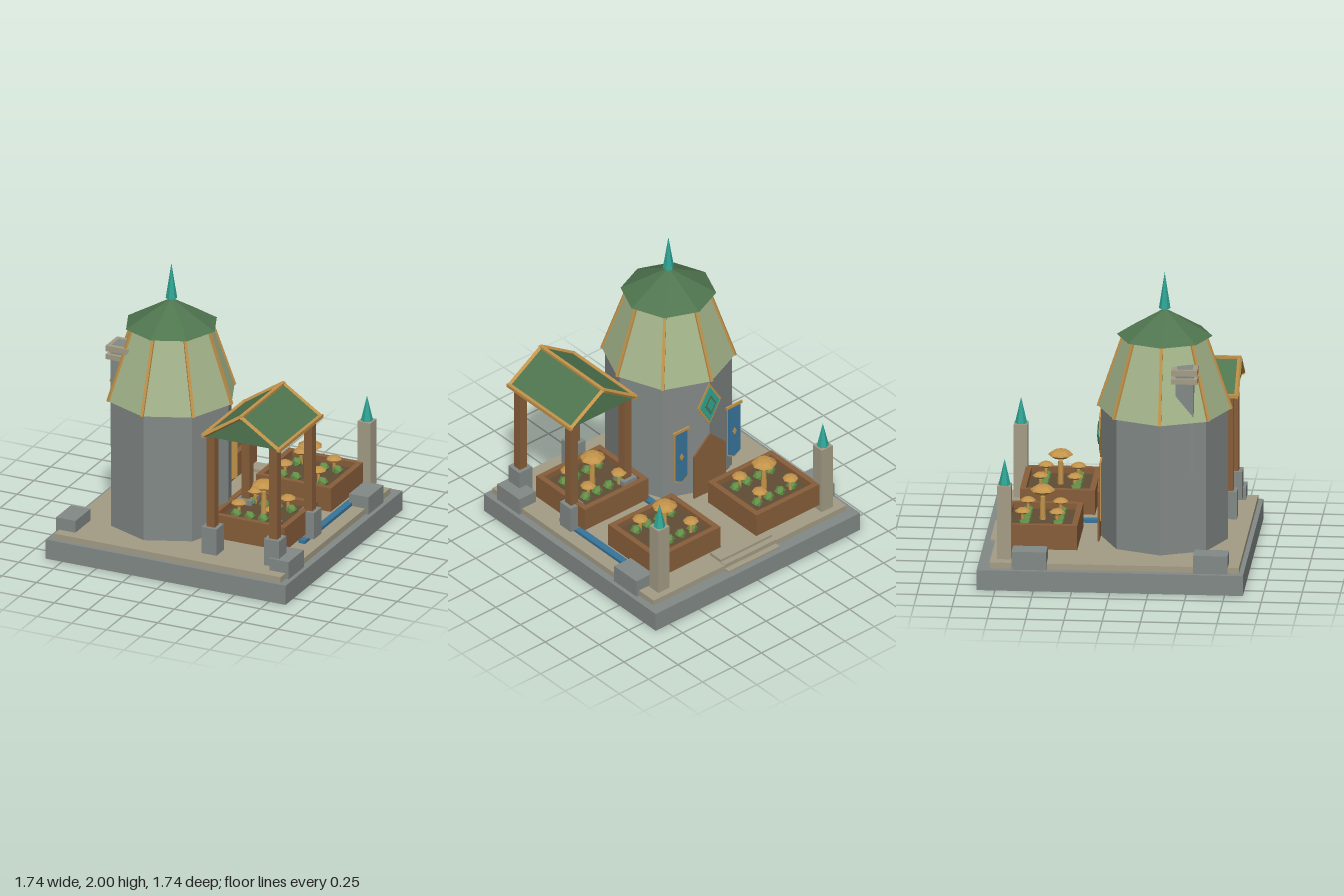
import * as THREE from 'three';

const mat = (name, color) => {
  const m = new THREE.MeshStandardMaterial({ color, flatShading: true });
  m.name = name;
  return m;
};

export function createModel() {
  const root = new THREE.Group();
  root.name = 'towerGarden';

  const stone = mat('grey stone', 0x828987);
  const tan = mat('tan stone', 0xa39c86);
  const wood = mat('brown wood', 0x875e3a);
  const soil = mat('soil', 0x614d36);
  const gold = mat('gold', 0xc2934a);
  const sage = mat('sage roof', 0xa3b48a);
  const green = mat('dark green roof', 0x4f754f);
  const teal = mat('teal crystal', 0x2fa595);
  const blue = mat('blue', 0x37749a);
  const leaf = mat('leaf green', 0x658f48);

  const add = (name, geo, material, x = 0, y = 0, z = 0, parent = root) => {
    const m = new THREE.Mesh(geo, material);
    m.name = name;
    m.position.set(x, y, z);
    parent.add(m);
    return m;
  };
  // Box given by its extents on each axis
  const box = (name, material, x0, x1, y0, y1, z0, z1, parent = root) =>
    add(name, new THREE.BoxGeometry(x1 - x0, y1 - y0, z1 - z0), material,
      (x0 + x1) / 2, (y0 + y1) / 2, (z0 + z1) / 2, parent);
  // Tapered prism standing on y0
  const prism = (name, material, rTop, rBottom, y0, y1, sides, x, z, parent = root) =>
    add(name, new THREE.CylinderGeometry(rTop, rBottom, y1 - y0, sides), material, x, (y0 + y1) / 2, z, parent);
  // Square bar between two points
  const beam = (name, material, a, b, w, parent = root) => {
    const p = new THREE.Vector3(...a), q = new THREE.Vector3(...b);
    const m = add(name, new THREE.BoxGeometry(w, w, p.distanceTo(q)), material, 0, 0, 0, parent);
    m.position.copy(p).lerp(q, 0.5);
    m.quaternion.setFromUnitVectors(new THREE.Vector3(0, 0, 1), q.sub(p).normalize());
    return m;
  };
  const shapeOf = (pts) => new THREE.Shape(pts.map(([x, y]) => new THREE.Vector2(x, y)));
  const extrude = (shape, depth) => new THREE.ExtrudeGeometry(shape, { depth, bevelEnabled: false });

  // Ground
  box('base', stone, -0.87, 0.87, 0, 0.135, -0.87, 0.87);
  box('floor', tan, -0.82, 0.82, 0.135, 0.175, -0.79, 0.84);
  box('stepLow', tan, -0.22, 0.215, 0.13, 0.15, -0.83, -0.78);
  box('stepMiddle', tan, -0.22, 0.215, 0.14, 0.18, -0.79, -0.74);
  box('stepHigh', tan, -0.22, 0.215, 0.15, 0.198, -0.75, -0.64);
  for (const x of [0.137, 0.7]) box('waterChannel', blue, x - 0.023, x + 0.023, 0.17, 0.197, -0.64, 0.28);

  // Corner blocks and crystal pillars
  for (const s of [-1, 1]) {
    for (const z of [-0.53, 0.655])
      add('cornerBlock', new THREE.BoxGeometry(0.14, 0.122, 0.225), stone, s * 0.773, 0.197, z);
    box('pillar', tan, s * 0.695 - 0.047, s * 0.695 + 0.047, 0.17, 0.67, -0.745, -0.655);
    prism('pillarCrystal', teal, 0, 0.04, 0.67, 0.845, 6, s * 0.695, -0.7);
  }

  // Tower
  const tower = new THREE.Group();
  tower.name = 'tower';
  tower.position.set(-0.23, 0, 0.31);
  root.add(tower);
  prism('towerWall', stone, 0.415, 0.415, 0.195, 1.08, 8, 0, 0, tower);
  prism('lowerRoof', sage, 0.268, 0.435, 1.08, 1.575, 8, 0, 0, tower);
  prism('upperRoof', green, 0, 0.313, 1.572, 1.755, 8, 0, 0, tower);
  prism('spire', teal, 0, 0.038, 1.755, 2, 6, 0, 0, tower);
  for (let i = 0; i < 8; i++) {
    const c = Math.cos(i * Math.PI / 4), s = Math.sin(i * Math.PI / 4);
    const rib = new THREE.Group();
    rib.name = 'roofRib';
    rib.rotation.y = i * Math.PI / 4;
    tower.add(rib);
    beam('ribBar', gold, [0, 1.08, 0.435], [0, 1.575, 0.268], 0.02, rib);
  }

  // Chimney
  box('chimneyShaft', stone, -0.565, -0.445, 0.72, 1.4, 0.405, 0.525);
  box('chimneyCollar', tan, -0.59, -0.425, 1.345, 1.38, 0.38, 0.55);
  box('chimneyCap', tan, -0.59, -0.425, 1.4, 1.44, 0.38, 0.55);
  box('chimneyMouth', stone, -0.56, -0.455, 1.37, 1.443, 0.415, 0.515);

  // Door on the back of the tower
  add('door', extrude(shapeOf([[-0.135, 0.195], [0.135, 0.195], [0.135, 0.53], [0, 0.655], [-0.135, 0.53]]), 0.012),
    wood, -0.225, 0, -0.119);

  // Diamond emblem above the door
  const diamond = (name, material, w, h, x, y, z, d = 0.006) =>
    add(name, extrude(shapeOf([[-w, 0], [0, -h], [w, 0], [0, h]]), d), material, x, y, z);
  diamond('emblemFrame', gold, 0.1, 0.165, -0.225, 0.895, -0.112);
  diamond('emblemPlate', teal, 0.082, 0.138, -0.225, 0.895, -0.117);
  diamond('emblemInset', green, 0.046, 0.078, -0.225, 0.895, -0.127);
  diamond('emblemCore', teal, 0.03, 0.052, -0.225, 0.895, -0.13);

  // Banners on either side of the door
  const cloth = (w, top, tip) => shapeOf([[-w, tip + 0.03], [0, tip], [w, tip + 0.03], [w, top], [-w, top]]);
  for (const x of [-0.4525, -0.0025]) {
    box('bannerRod', gold, x - 0.068, x + 0.068, 0.755, 0.775, -0.096, -0.084);
    add('bannerBorder', extrude(cloth(0.057, 0.755, 0.35), 0.004), gold, x, 0, -0.09);
    add('bannerCloth', extrude(cloth(0.05, 0.755, 0.36), 0.004), blue, x, 0, -0.094);
    diamond('bannerMark', gold, 0.017, 0.03, x, 0.56, -0.098, 0.004);
  }

  // Canopy
  const roofShape = shapeOf([[0.21, 1.025], [0.765, 1.025], [0.4875, 1.21]]);
  add('canopyRoof', extrude(roofShape, 0.62), green, 0, 0, 0.12);
  const zA = 0.12, zB = 0.745;
  beam('ridgeTrim', gold, [0.4875, 1.208, zA - 0.01], [0.4875, 1.208, zB + 0.01], 0.024);
  for (const x of [0.213, 0.762]) {
    beam('eaveTrim', gold, [x, 1.028, zA - 0.01], [x, 1.028, zB + 0.01], 0.024);
    for (const z of [zA, zB]) beam('gableTrim', gold, [x, 1.028, z], [0.4875, 1.21, z], 0.022);
  }
  for (const x of [0.255, 0.708]) {
    for (const z of [0.173, 0.693]) {
      box('canopyPost', wood, x - 0.03, x + 0.03, 0.38, 1.03, z - 0.03, z + 0.03);
      box('postFoot', stone, x - 0.055, x + 0.055, 0.195, 0.38, z - 0.055, z + 0.055);
    }
  }

  // Planters with mushrooms and leafy clumps
  const mushroom = (x, z, r, stemTop, capY, capH, parent) => {
    prism('mushroomStem', gold, r * 0.2, r * 0.25, 0.335, stemTop, 8, x, z, parent);
    const profile = [[0, 0], [0.55, 0], [1, 0.38], [0.92, 0.55], [0.55, 0.9], [0, 1]]
      .map(([a, b]) => new THREE.Vector2(a * r, b * capH));
    add('mushroomCap', new THREE.LatheGeometry(profile, 8), gold, x, capY, z, parent);
  };
  const planter = (cx, cz) => {
    const g = new THREE.Group();
    g.name = 'planter';
    g.position.set(cx, 0, cz);
    root.add(g);
    const hw = 0.271, hd = 0.246, t = 0.038;
    for (const s of [-1, 1]) {
      add('planterEnd', new THREE.BoxGeometry(t, 0.165, 2 * hd), wood, s * (hw - t / 2), 0.303, 0, g);
      add('planterSide', new THREE.BoxGeometry(2 * (hw - t), 0.165, t), wood, 0, 0.303, s * (hd - t / 2), g);
    }
    box('soilBed', soil, -hw + t, hw - t, 0.222, 0.345, -hd + t, hd - t, g);
    mushroom(0, 0, 0.082, 0.5, 0.522, 0.057, g);
    for (const [x, z] of [[-0.123, -0.122], [0.124, -0.105], [-0.13, 0.104], [0.115, 0.108]])
      mushroom(x, z, 0.052, 0.41, 0.42, 0.037, g);
    for (const x of [-0.145, -0.047, 0.05, 0.148])
      for (const z of [-0.107, 0.112])
        add('leafClump', new THREE.IcosahedronGeometry(0.038, 0), leaf, x, 0.358, z, g);
  };
  planter(-0.383, -0.475);
  planter(0.418, -0.42);
  planter(0.432, 0.293);

  return root;
}
